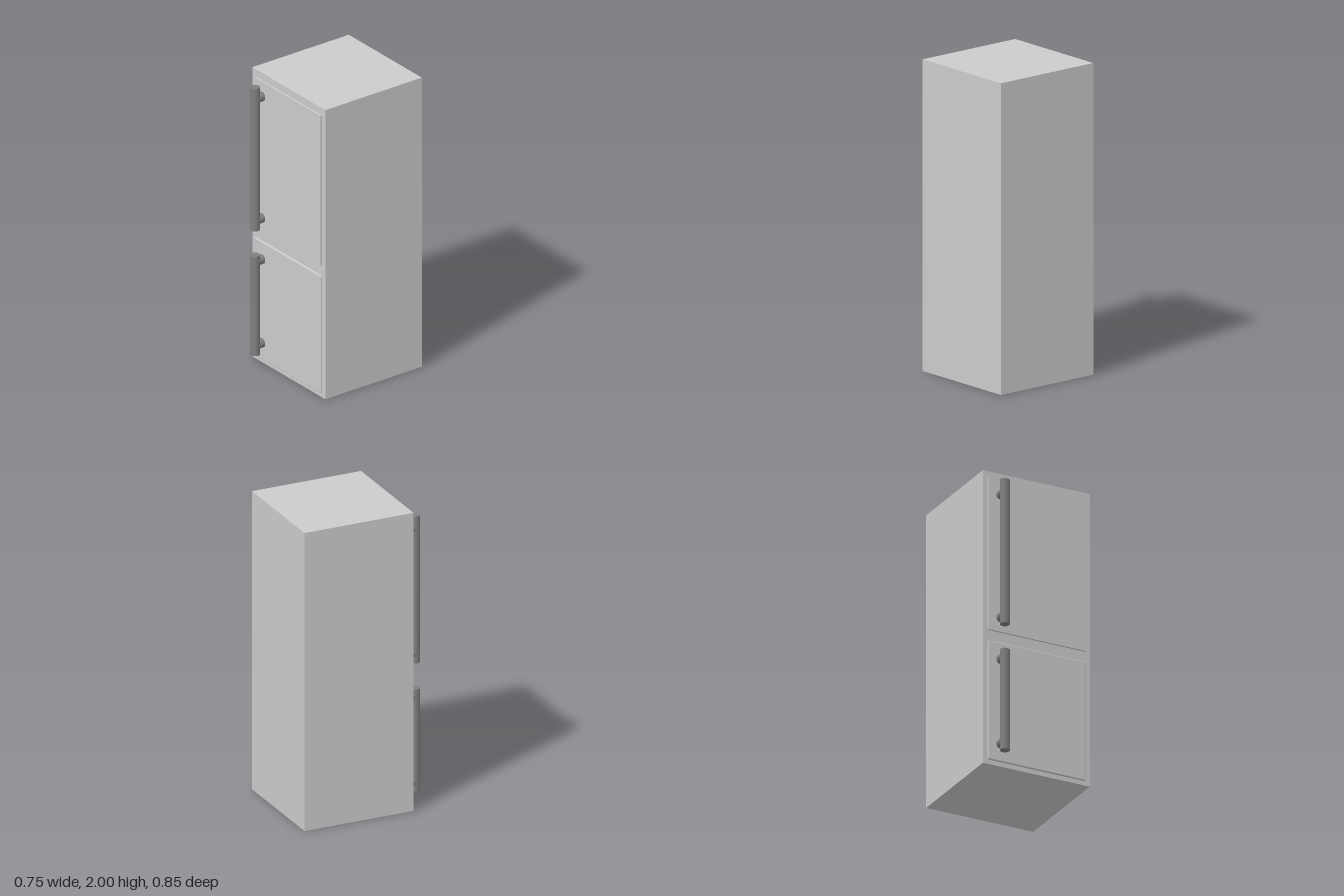
import * as THREE from 'three';
import { RoundedBoxGeometry } from 'three/addons/geometries/RoundedBoxGeometry.js';

const bodyMat = new THREE.MeshStandardMaterial({ color: 0xcccccc });
const handleMat = new THREE.MeshStandardMaterial({ color: 0x808080 });

const FRONT = 0.325;      // front face of the cabinet
const DOOR_FRONT = 0.337; // front face of the doors
const HANDLE_X = -0.257;
const HANDLE_Z = 0.392;
const RADIUS = 0.031;

function add(parent, name, geometry, material, x, y, z) {
  const mesh = new THREE.Mesh(geometry, material);
  mesh.name = name;
  mesh.position.set(x, y, z);
  parent.add(mesh);
  return mesh;
}

// Thin door panel, partly sunk into the cabinet, with softened or sharp edges
function addDoor(parent, name, bottom, top, soft) {
  const depth = 0.04;
  const size = [0.686, top - bottom, depth];
  const geometry = soft ? new RoundedBoxGeometry(...size, 3, 0.006) : new THREE.BoxGeometry(...size);
  add(parent, name, geometry, bodyMat, 0, (top + bottom) / 2, DOOR_FRONT - depth / 2);
}

// Vertical round bar held by two round posts
function addHandle(parent, name, bottom, top, postHeights) {
  const handle = new THREE.Group();
  handle.name = name;
  add(handle, 'bar', new THREE.CylinderGeometry(RADIUS, RADIUS, top - bottom, 32),
    handleMat, HANDLE_X, (top + bottom) / 2, HANDLE_Z);
  for (const y of postHeights) {
    const length = HANDLE_Z - FRONT;
    const post = add(handle, 'post', new THREE.CylinderGeometry(RADIUS, RADIUS, length, 32),
      handleMat, HANDLE_X, y, FRONT + length / 2);
    post.rotation.x = Math.PI / 2;
  }
  parent.add(handle);
}

export function createModel() {
  const fridge = new THREE.Group();
  fridge.name = 'refrigerator';

  add(fridge, 'cabinet', new THREE.BoxGeometry(0.75, 2, 0.75), bodyMat, 0, 1, FRONT - 0.375);

  addDoor(fridge, 'upperDoor', 0.915, 1.95, false);
  addDoor(fridge, 'lowerDoor', 0.03, 0.842, true);

  addHandle(fridge, 'upperHandle', 0.945, 1.93, [1.01, 1.85]);
  addHandle(fridge, 'lowerHandle', 0.083, 0.77, [0.147, 0.725]);

  return fridge;
}
